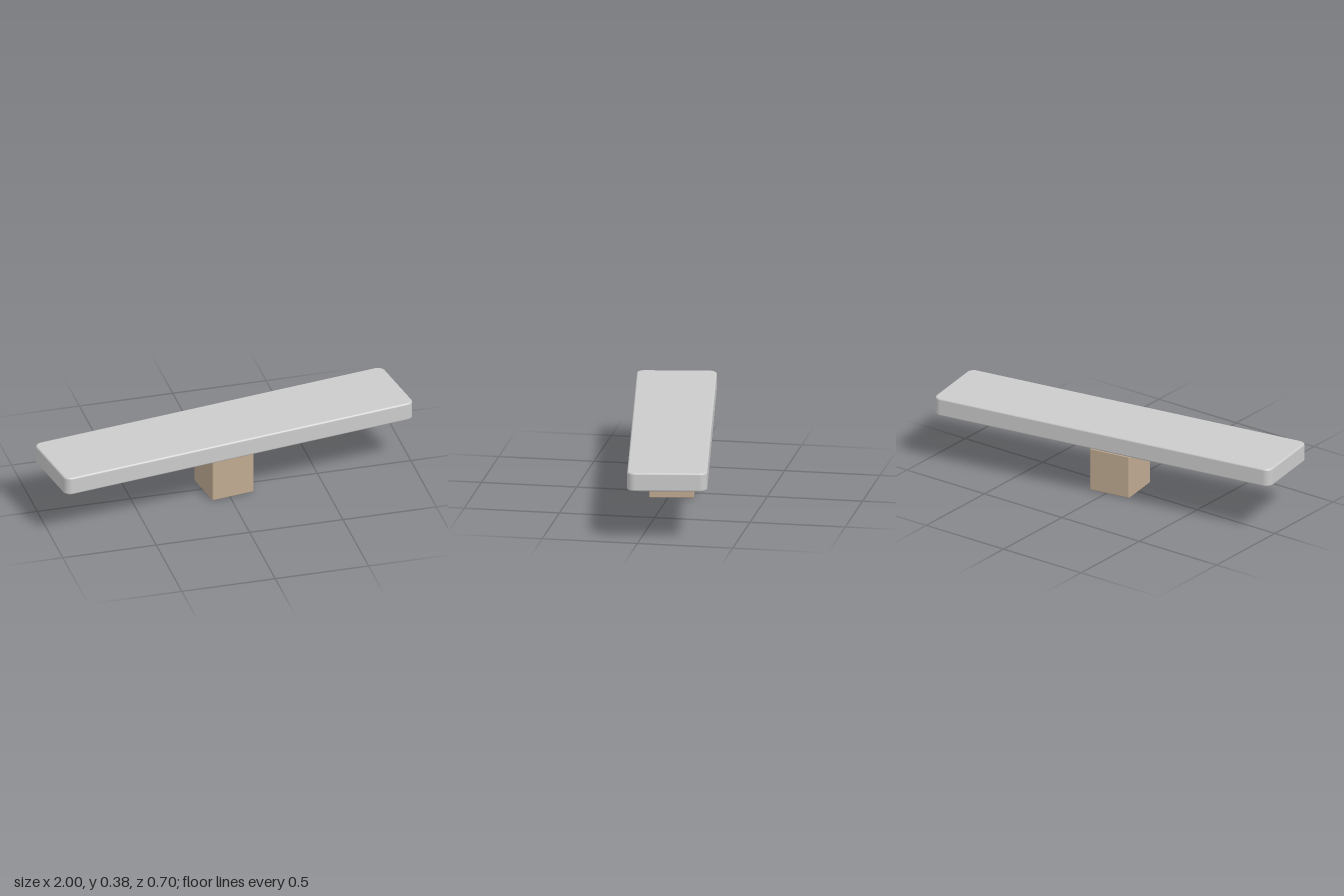
import * as THREE from 'three';

// Upright block with rounded plan corners and softened rims, base at y = 0
function softBlock(length, height, width, radius, bevel) {
  const cx = length / 2 - radius, cz = width / 2 - radius;
  const s = new THREE.Shape();
  s.absarc(cx, cz, radius, 0, Math.PI / 2);
  s.absarc(-cx, cz, radius, Math.PI / 2, Math.PI);
  s.absarc(-cx, -cz, radius, Math.PI, Math.PI * 1.5);
  s.absarc(cx, -cz, radius, Math.PI * 1.5, Math.PI * 2);
  s.closePath();
  const geo = new THREE.ExtrudeGeometry(s, {
    depth: height - 2 * bevel, curveSegments: 8,
    bevelEnabled: true, bevelThickness: bevel, bevelSize: bevel,
    bevelOffset: -bevel, bevelSegments: 4,
  });
  geo.rotateX(-Math.PI / 2).translate(0, bevel, 0);

  // Exact normals: flat on the faces, smooth round the corners and rims
  const { position, normal } = geo.attributes;
  const clamp = THREE.MathUtils.clamp;
  const n = new THREE.Vector3();
  for (let i = 0; i < position.count; i++) {
    const x = position.getX(i), y = position.getY(i), z = position.getZ(i);
    const up = clamp((y - clamp(y, bevel, height - bevel)) / bevel, -1, 1);
    n.set(x - clamp(x, -cx, cx), 0, z - clamp(z, -cz, cz));
    n.setLength(Math.sqrt(1 - up * up)).setY(up);
    normal.setXYZ(i, n.x, n.y, n.z);
  }
  return geo;
}

export function createModel() {
  const model = new THREE.Group();
  const add = (name, geo, color, y) => {
    const mesh = new THREE.Mesh(geo, new THREE.MeshStandardMaterial({ color }));
    mesh.name = name;
    mesh.position.y = y;
    mesh.rotation.y = THREE.MathUtils.degToRad(8.8); // both parts share one turn
    model.add(mesh);
  };

  // Long slab floating just above the supporting block
  add('slab', softBlock(1.972, 0.099, 0.414, 0.04, 0.01), 0xf0f1f3, 0.277);
  add('supportBlock', softBlock(0.233, 0.233, 0.233, 0.008, 0.005), 0xc0aa92, 0);
  return model;
}
